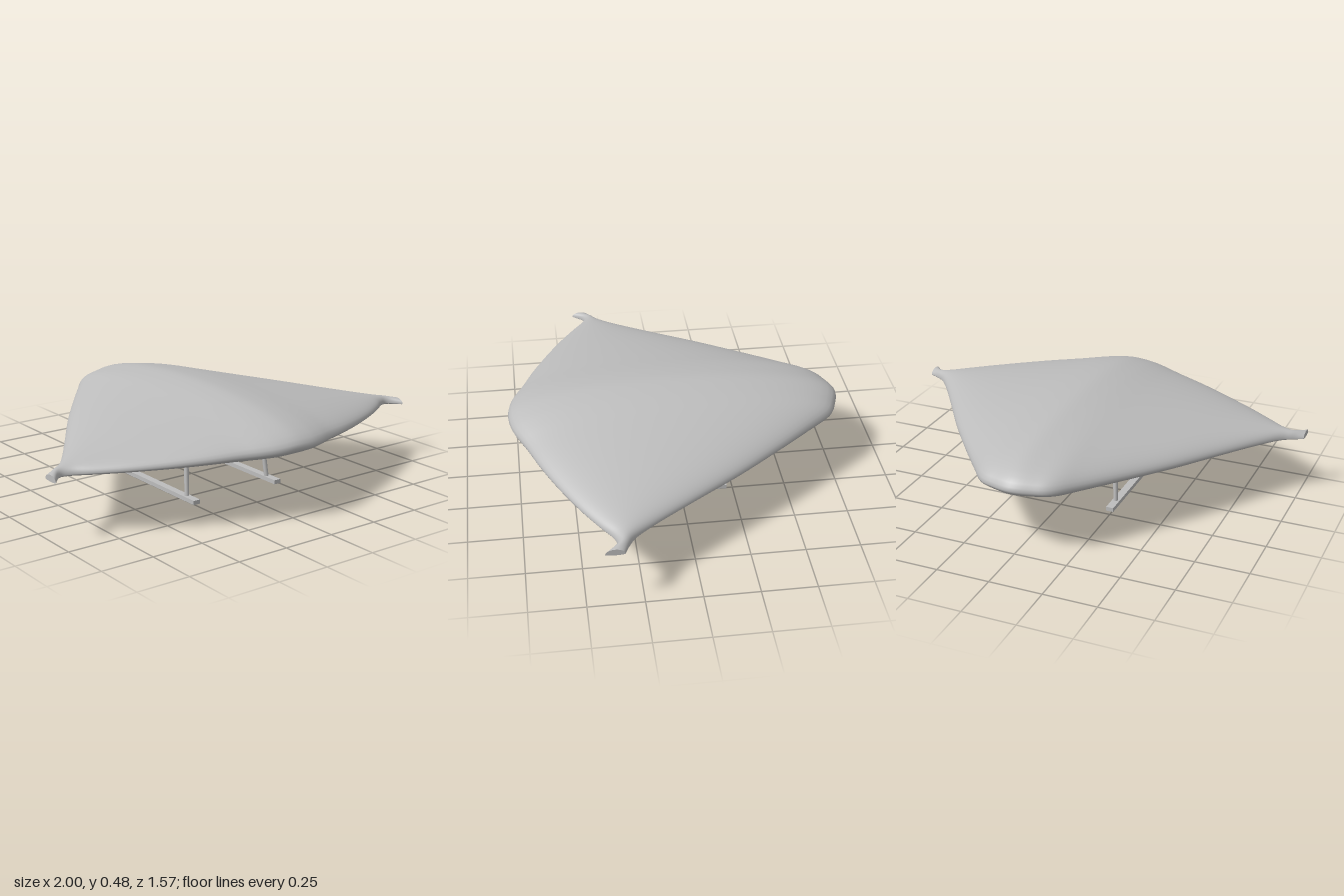
import * as THREE from 'three';

const grey = new THREE.MeshStandardMaterial({ color: 0xbcbcbc });
grey.name = 'light grey';

// Half-span stations: x, front z, back z, top y, edge y, bottom y
const STATIONS = [
  [0, 0.782, -0.788, 0.48, 0.33, 0.22],
  [0.09, 0.772, -0.765, 0.472, 0.326, 0.222],
  [0.17, 0.745, -0.725, 0.459, 0.322, 0.226],
  [0.26, 0.705, -0.615, 0.441, 0.317, 0.231],
  [0.4, 0.65, -0.435, 0.414, 0.309, 0.24],
  [0.55, 0.58, -0.232, 0.386, 0.3, 0.248],
  [0.7, 0.5, -0.01, 0.357, 0.292, 0.256],
  [0.82, 0.425, 0.165, 0.334, 0.285, 0.262],
  [0.9, 0.37, 0.268, 0.318, 0.28, 0.266],
  [0.95, 0.362, 0.305, 0.309, 0.277, 0.268],
  [1, 0.415, 0.33, 0.3, 0.275, 0.27],
];

// Smooth blended-wing hull, lofted from elliptical sections along x
function hullGeometry() {
  const rows = [...STATIONS.slice(1).reverse().map(([x, ...r]) => [-x, ...r]), ...STATIONS];
  const spline = (a, b, c) => new THREE.CatmullRomCurve3(
    rows.map((r) => new THREE.Vector3(r[a], r[b], r[c])), false, 'catmullrom', 0.5);
  const plan = spline(0, 1, 2), height = spline(3, 4, 5);
  const nx = 100, na = 56, pos = [], idx = [];

  for (let i = 0; i <= nx; i++) {
    const p = plan.getPoint(i / nx), h = height.getPoint(i / nx);
    for (let j = 0; j < na; j++) {
      const a = (j / na) * Math.PI * 2, s = Math.sin(a);
      pos.push(p.x, h.y + s * (s > 0 ? h.x - h.y : h.y - h.z),
        (p.y + p.z) / 2 + Math.cos(a) * (p.y - p.z) / 2);
    }
  }
  for (let i = 0; i < nx; i++) {
    for (let j = 0; j < na; j++) {
      const k = (j + 1) % na, a = i * na, b = a + na;
      idx.push(a + j, b + j, b + k, a + j, b + k, a + k);
    }
  }
  // Flat wing-tip caps with their own vertices
  for (const ring of [0, nx]) {
    const start = pos.length / 3;
    pos.push(...pos.slice(ring * na * 3, (ring + 1) * na * 3));
    for (let j = 1; j < na - 1; j++) {
      if (ring === 0) idx.push(start, start + j, start + j + 1);
      else idx.push(start, start + j + 1, start + j);
    }
  }
  const g = new THREE.BufferGeometry();
  g.setAttribute('position', new THREE.Float32BufferAttribute(pos, 3));
  g.setIndex(idx);
  g.computeVertexNormals();
  return g;
}

// Slim round strut between two points
function strut(from, to) {
  const dir = to.clone().sub(from);
  const mesh = new THREE.Mesh(new THREE.CylinderGeometry(0.011, 0.011, dir.length(), 12), grey);
  mesh.position.copy(from).add(to).multiplyScalar(0.5);
  mesh.quaternion.setFromUnitVectors(new THREE.Vector3(0, 1, 0), dir.normalize());
  return mesh;
}

export function createModel() {
  const model = new THREE.Group();
  model.name = 'flyingWing';

  const hull = new THREE.Mesh(hullGeometry(), grey);
  hull.name = 'hull';
  model.add(hull);

  // Landing gear: one skid with two leaning struts on each side
  for (const side of [1, -1]) {
    const gear = new THREE.Group();
    gear.name = side > 0 ? 'leftLandingGear' : 'rightLandingGear';

    const skid = new THREE.Mesh(new THREE.BoxGeometry(0.036, 0.02, 0.585), grey);
    skid.name = 'skid';
    skid.position.set(side * 0.238, 0.01, 0.07);
    gear.add(skid);

    for (const [name, zLow, zHigh] of [['frontStrut', 0.283, 0.254], ['rearStrut', -0.142, -0.113]]) {
      const s = strut(new THREE.Vector3(side * 0.236, 0.012, zLow),
        new THREE.Vector3(side * 0.22, 0.25, zHigh));
      s.name = name;
      gear.add(s);
    }
    model.add(gear);
  }
  return model;
}
